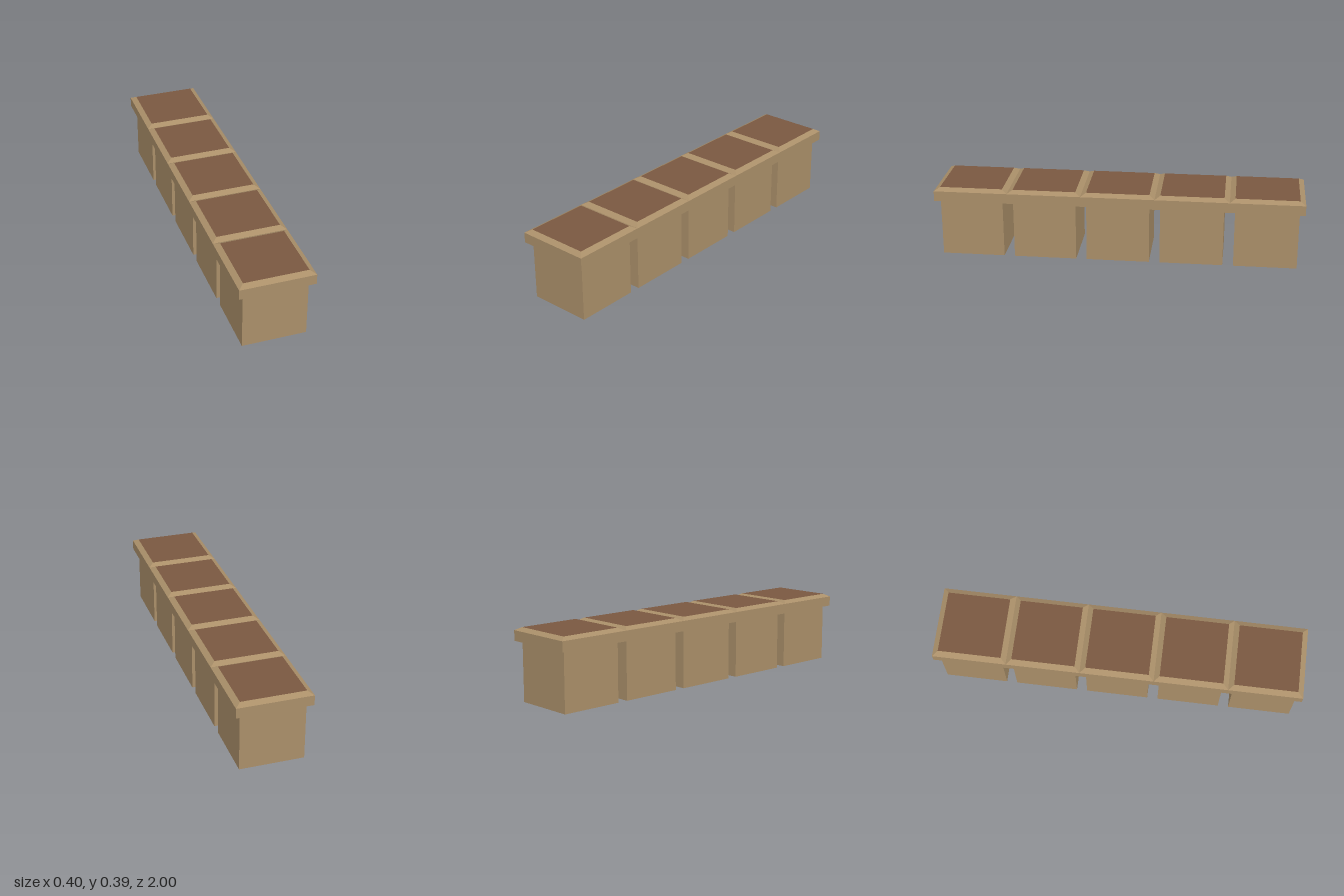
import * as THREE from 'three';

const COUNT = 5, PITCH = 0.4;
const BODY = 0.342, BODY_TOP = 0.32, RIM_TOP = 0.375, TOP = 0.391;

export function createModel() {
  const group = new THREE.Group();
  const stone = new THREE.MeshStandardMaterial({ color: 0xaa8f69, flatShading: true });
  const soilMat = new THREE.MeshStandardMaterial({ color: 0x7a5840, flatShading: true });

  // Square body, overhanging rim, sloped rim edge and flat soil panel
  const bodyGeo = new THREE.BoxGeometry(BODY, BODY_TOP, BODY).translate(0, BODY_TOP / 2, 0);
  const rimGeo = new THREE.BoxGeometry(PITCH, RIM_TOP - BODY_TOP, PITCH)
    .translate(0, (RIM_TOP + BODY_TOP) / 2, 0);
  const bevelGeo = new THREE.CylinderGeometry(BODY / Math.SQRT2, PITCH / Math.SQRT2, TOP - RIM_TOP, 4, 1, true)
    .rotateY(Math.PI / 4).translate(0, (TOP + RIM_TOP) / 2, 0);
  const soilGeo = new THREE.PlaneGeometry(BODY, BODY).rotateX(-Math.PI / 2).translate(0, TOP, 0);

  const parts = [
    ['body', bodyGeo, stone],
    ['rim', rimGeo, stone],
    ['rimBevel', bevelGeo, stone],
    ['soil', soilGeo, soilMat],
  ];

  // Row of identical planter boxes along z
  for (let i = 0; i < COUNT; i++) {
    const planter = new THREE.Group();
    planter.name = `planter${i + 1}`;
    planter.position.z = (i - (COUNT - 1) / 2) * PITCH;
    for (const [name, geometry, material] of parts) {
      const mesh = new THREE.Mesh(geometry, material);
      mesh.name = name;
      planter.add(mesh);
    }
    group.add(planter);
  }
  return group;
}
